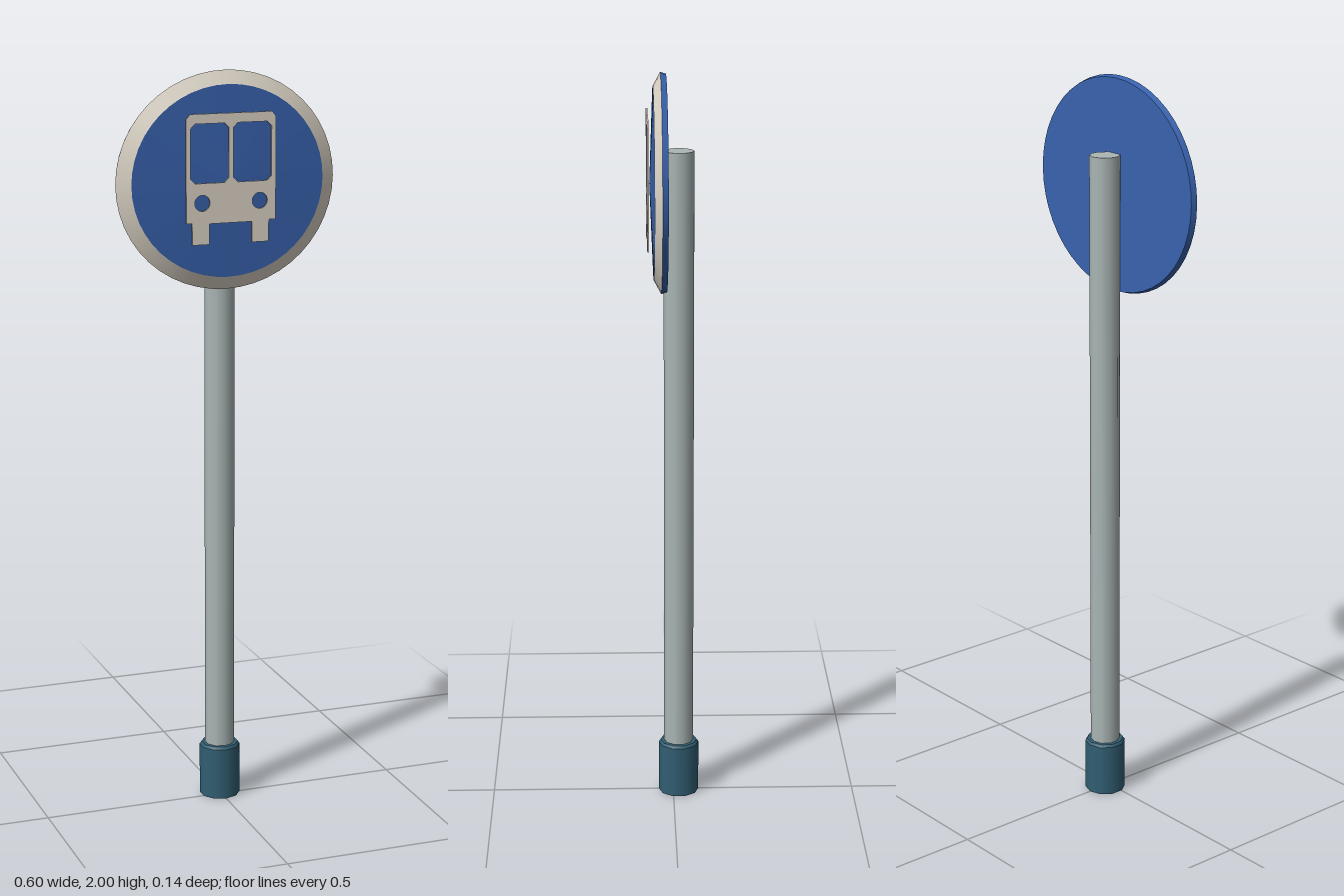
import * as THREE from 'three';

const mat = (name, color) => {
  const m = new THREE.MeshStandardMaterial({ color });
  m.name = name;
  return m;
};

export function createModel() {
  const blue = mat('signBlue', 0x3862ae);
  const cream = mat('cream', 0xdcd4c6);
  const grey = mat('poleGrey', 0xaab6b5);
  const teal = mat('baseTeal', 0x315f73);

  const model = new THREE.Group();
  model.name = 'busStopSign';
  const add = (parent, name, geometry, material, x = 0, y = 0, z = 0) => {
    const mesh = new THREE.Mesh(geometry, material);
    mesh.name = name;
    mesh.position.set(x, y, z);
    parent.add(mesh);
    return mesh;
  };

  // Ten-sided pole with a sleeve at its foot
  const poleZ = -0.015;
  add(model, 'pole', new THREE.CylinderGeometry(0.04, 0.04, 1.78, 10), grey, 0, 0.91, poleZ);
  add(model, 'baseSleeve', new THREE.CylinderGeometry(0.055, 0.055, 0.143, 10), teal, 0, 0.0715, poleZ);
  add(model, 'baseBevel', new THREE.CylinderGeometry(0.05, 0.055, 0.007, 10), teal, 0, 0.1465, poleZ);

  // Slightly oval disc: each [radius, z] band is a lathe turned to face +z
  const sign = new THREE.Group();
  sign.name = 'sign';
  sign.position.y = 1.715;
  model.add(sign);
  const band = (name, points, material) => {
    const profile = points.map(([r, z]) => new THREE.Vector2(r, z));
    const geometry = new THREE.LatheGeometry(profile, 48);
    geometry.rotateX(Math.PI / 2).scale(1, 0.95, 1);
    add(sign, name, geometry, material);
  };
  band('discBack', [[0, 0.018], [0.295, 0.018]], blue);
  band('discEdge', [[0.295, 0.018], [0.3, 0.033]], blue);
  band('discRim', [[0.3, 0.033], [0.263, 0.052]], cream);
  band('discFace', [[0.263, 0.052], [0, 0.062]], blue);

  // Bus outline, drawn in world height and lowered to the sign centre
  const outline = [
    [-0.105, 1.556], [-0.058, 1.556], [-0.058, 1.61], [0.06, 1.61], [0.06, 1.556], [0.106, 1.556],
    [0.106, 1.613], [0.125, 1.613], [0.125, 1.88], [0.115, 1.893], [-0.11, 1.893], [-0.121, 1.88],
    [-0.121, 1.613], [-0.105, 1.613],
  ];
  const bus = new THREE.Shape(outline.map(([x, y]) => new THREE.Vector2(x, y)));

  // Windows with clipped corners and round headlights are cut through
  const c = 0.012;
  for (const [x0, x1] of [[-0.109, -0.004], [0.008, 0.113]]) {
    const y0 = 1.715, y1 = 1.868;
    bus.holes.push(new THREE.Path([
      [x0 + c, y0], [x0, y0 + c], [x0, y1 - c], [x0 + c, y1],
      [x1 - c, y1], [x1, y1 - c], [x1, y0 + c], [x1 - c, y0],
    ].map(([x, y]) => new THREE.Vector2(x, y))));
  }
  for (const x of [-0.077, 0.081]) {
    bus.holes.push(new THREE.Path().absarc(x, 1.664, 0.021, 0, Math.PI * 2, true));
  }
  const busGeometry = new THREE.ExtrudeGeometry(bus, { depth: 0.004, bevelEnabled: false, curveSegments: 10 });
  add(sign, 'busSymbol', busGeometry, cream, 0, -1.715, 0.065);

  return model;
}
